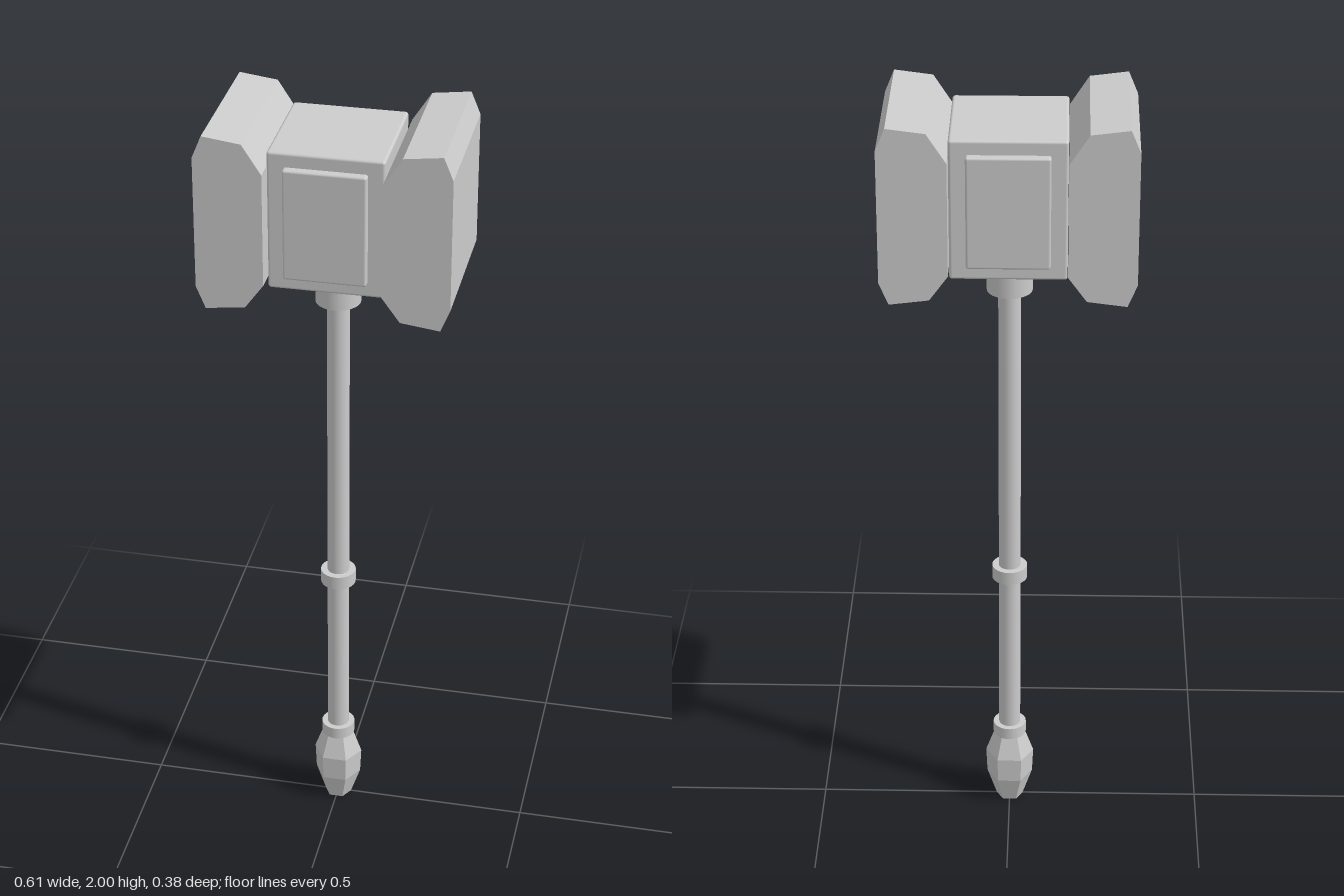
import * as THREE from 'three';
import { RoundedBoxGeometry } from 'three/addons/geometries/RoundedBoxGeometry.js';

export function createModel() {
  const model = new THREE.Group();
  model.name = 'warHammer';
  const steel = new THREE.MeshStandardMaterial({ color: 0xcccccc });
  steel.name = 'greySteel';

  const add = (name, geometry, x = 0, y = 0, z = 0) => {
    const mesh = new THREE.Mesh(geometry, steel);
    mesh.name = name;
    mesh.position.set(x, y, z);
    model.add(mesh);
    return mesh;
  };
  // upright cylinder between two heights
  const rod = (name, radius, y0, y1) =>
    add(name, new THREE.CylinderGeometry(radius, radius, y1 - y0, 24), 0, (y0 + y1) / 2, 0);

  // handle with its rings
  rod('shaft', 0.028, 0.2, 1.55);
  rod('headCollar', 0.056, 1.51, 1.578);
  rod('gripRing', 0.045, 0.69, 0.726);
  rod('pommelRing', 0.043, 0.205, 0.237);

  // six-sided pommel, corners pointing sideways
  const profile = [[0, 0], [0.035, 0], [0.06, 0.075], [0.063, 0.143], [0.04, 0.207], [0, 0.207]]
    .map(([r, y]) => new THREE.Vector2(r, y));
  const pommel = new THREE.LatheGeometry(profile, 6, Math.PI / 2).toNonIndexed();
  pommel.computeVertexNormals();
  add('pommel', pommel);

  // head core with a raised panel on front and back
  add('headCore', new RoundedBoxGeometry(0.28, 0.352, 0.29, 2, 0.007), 0, 1.779, -0.001);
  add('headPanels', new RoundedBoxGeometry(0.2, 0.282, 0.328, 2, 0.006), 0, 1.779, -0.001);

  // bevelled striking blocks, one at each end
  const outline = [
    [0.141, 1.63], [0.186, 1.568], [0.282, 1.556], [0.305, 1.612],
    [0.305, 1.944], [0.282, 2.0], [0.188, 1.988], [0.141, 1.915],
  ].map(([x, y]) => new THREE.Vector2(x, y));
  const block = new THREE.ExtrudeGeometry(new THREE.Shape(outline), { depth: 0.376, bevelEnabled: false });
  block.translate(0, 0, -0.188);
  add('leftStrikingBlock', block);
  add('rightStrikingBlock', block).rotation.y = Math.PI;

  return model;
}
